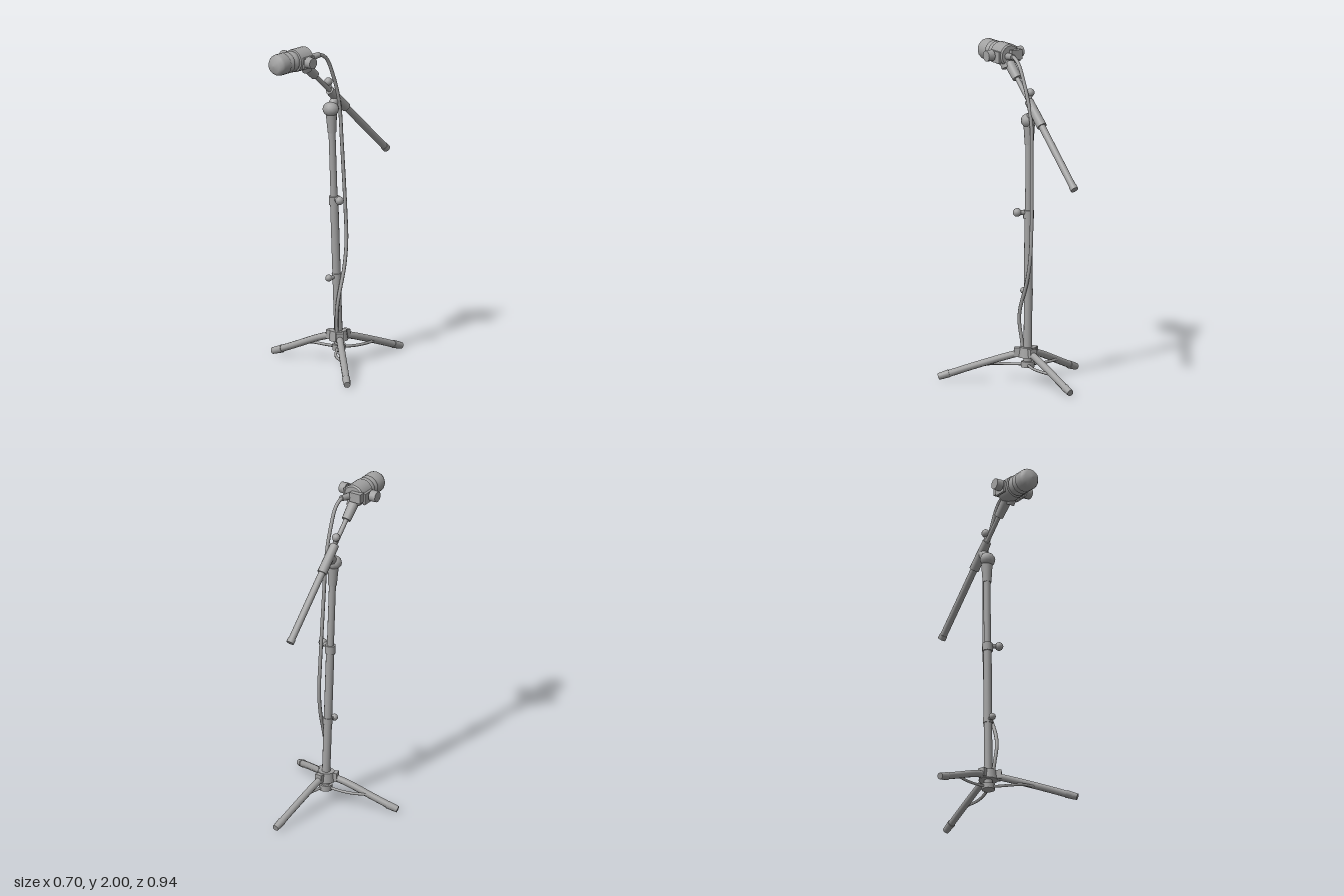
import * as THREE from 'three';

const V = (x, y, z) => new THREE.Vector3(x, y, z);

export function createModel() {
  const root = new THREE.Group();
  const grey = new THREE.MeshStandardMaterial({ color: 0xa2a2a2 });
  grey.name = 'grey';

  function add(name, geometry, parent = root, pos) {
    const m = new THREE.Mesh(geometry, grey);
    m.name = name;
    if (pos) m.position.copy(pos);
    parent.add(m);
    return m;
  }
  // Closed round bar between two points
  function rod(name, a, b, ra, rb = ra, parent = root, sides = 12) {
    const dir = b.clone().sub(a);
    const m = add(name, new THREE.CylinderGeometry(rb, ra, dir.length(), sides), parent);
    m.position.copy(a).add(b).multiplyScalar(0.5);
    m.quaternion.setFromUnitVectors(V(0, 1, 0), dir.normalize());
    return m;
  }
  function tube(name, pts, r, steps = 24, sides = 8) {
    return add(name, new THREE.TubeGeometry(new THREE.CatmullRomCurve3(pts), steps, r, sides));
  }
  const ball = (name, pos, r, parent = root) => add(name, new THREE.SphereGeometry(r, 12, 8), parent, pos);

  // Slightly leaning pole
  const foot = V(0.1, 0.1, -0.02), top = V(0.057, 1.58, -0.004);
  const onPole = y => foot.clone().lerp(top, (y - foot.y) / (top.y - foot.y));
  rod('lowerPole', foot, onPole(1.03), 0.025, 0.025);
  rod('upperPole', onPole(1.0), top, 0.021, 0.021);
  rod('middleCollar', onPole(0.985), onPole(1.035), 0.032);
  rod('lowerCollar', onPole(0.52), onPole(0.56), 0.029);
  rod('topCollar', onPole(1.43), onPole(1.55), 0.026, 0.034);

  // Clamp knobs
  rod('middleKnobStem', onPole(1.02), V(0.125, 1.025, 0.036), 0.014);
  ball('middleKnob', V(0.126, 1.025, 0.038), 0.026);
  rod('lowerKnobStem', onPole(0.54), V(0.058, 0.54, 0.035), 0.012);
  ball('lowerKnob', V(0.056, 0.54, 0.035), 0.021);

  // Hub of the tripod
  rod('hub', onPole(0.15), onPole(0.21), 0.058, 0.05);
  rod('lowerHub', onPole(0.09), onPole(0.125), 0.04);

  // Three folding legs with side braces
  for (const [x, z, side] of [[-0.325, -0.08, 1], [0.32, -0.44, 1], [0.325, 0.44, 1]]) {
    const hub = V(0.1, 0, -0.015);
    const out = V(x, 0, z).sub(hub), len = out.length();
    out.normalize();
    const across = V(-out.z, 0, out.x).multiplyScalar(side);
    const at = (d, y, s = 0) => hub.clone().addScaledVector(out, d).addScaledVector(across, s).setY(y);
    const tip = at(len, 0.025);
    tube('leg', [at(0.03, 0.178), at(0.12, 0.153), at(len * 0.7, 0.078), tip], 0.021, 12, 10);
    rod('foot', at(len - 0.045, 0.042), at(len + 0.02, 0.02), 0.024, 0.02);
    tube('brace', [at(0.03, 0.105, 0.01), at(0.12, 0.1, 0.028), at(0.2, 0.1, 0.032), at(0.28, 0.093, 0.005)], 0.009, 12, 6);
    add('legHinge', new THREE.BoxGeometry(0.045, 0.055, 0.05), root, at(0.05, 0.18)).rotation.y =
      Math.atan2(out.x, out.z);
  }

  // Boom arm and its swivel clutch
  const boomLow = V(0.245, 1.235, -0.435), boomHigh = V(-0.035, 1.885, 0.19);
  const onBoom = t => boomLow.clone().lerp(boomHigh, t);
  rod('boomTube', boomLow, onBoom(0.63), 0.021);
  rod('boomRod', onBoom(0.6), boomHigh, 0.014);
  rod('boomEnd', boomLow, onBoom(0.03), 0.024);
  rod('boomSleeve', onBoom(0.5), onBoom(0.7), 0.03, 0.027);
  rod('boomGrip', onBoom(0.88), boomHigh, 0.028, 0.032);
  rod('swivelArm', top, onBoom(0.62), 0.03, 0.026);
  const swivel = ball('swivel', V(0.056, 1.575, 0.002), 0.046);
  swivel.scale.set(1.1, 0.95, 0.95);
  rod('boomKnobStem', onBoom(0.69), V(0.04, 1.74, -0.002), 0.013);
  ball('boomKnob', V(0.04, 1.742, -0.002), 0.025);

  // Microphone, pointing along its local z
  const mic = new THREE.Group();
  mic.name = 'microphone';
  mic.position.set(-0.06, 1.933, 0.245);
  mic.rotation.y = -0.41;
  root.add(mic);
  const turned = (name, profile) => add(name, new THREE.LatheGeometry(
    profile.map(([r, d]) => new THREE.Vector2(r, d)), 18).rotateX(Math.PI / 2), mic);
  turned('ribbedHead', [[0.055, 0.02], [0.06, 0.045], [0.065, 0.055], [0.065, 0.072], [0.056, 0.08],
    [0.064, 0.088], [0.065, 0.104], [0.057, 0.112], [0.064, 0.12], [0.065, 0.17], [0.06, 0.185],
    [0.045, 0.205], [0, 0.211]]);
  turned('body', [[0, -0.07], [0.06, -0.07], [0.06, -0.07], [0.069, -0.062], [0.069, -0.062],
    [0.069, 0.04], [0.069, 0.04], [0.055, 0.046], [0.05, 0.046]]);

  // Yoke with a round knob at each end
  rod('yokeBar', V(-0.1, 0, 0), V(0.1, 0, 0), 0.024, 0.024, mic);
  for (const s of [-1, 1]) {
    rod('yokeKnob', V(s * 0.085, 0, 0), V(s * 0.128, 0, 0), 0.035, 0.033, mic);
    add('yokePlate', new THREE.BoxGeometry(0.014, 0.07, 0.085), mic, V(s * 0.071, -0.008, -0.02));
  }
  add('rearBracket', new THREE.BoxGeometry(0.075, 0.06, 0.04), mic, V(-0.03, 0.005, -0.078));
  rod('clip', V(0.02, -0.075, -0.06), V(0.02, -0.02, -0.03), 0.03, 0.035, mic);

  // Cable hanging from the microphone down to the hub
  rod('cablePlug', V(-0.015, 1.93, 0.19), V(0.03, 1.94, 0.125), 0.022, 0.017);
  tube('cable', [V(0, 1.935, 0.17), V(0.03, 1.94, 0.12), V(0.055, 1.905, 0.07), V(0.075, 1.8, 0.02),
    V(0.09, 1.68, -0.02), V(0.098, 1.55, -0.045), V(0.105, 1.4, -0.05), V(0.125, 0.95, -0.062),
    V(0.133, 0.75, -0.057), V(0.13, 0.6, -0.03), V(0.118, 0.45, 0.02), V(0.11, 0.37, 0.033),
    V(0.1, 0.25, 0.022), V(0.1, 0.17, 0.01)], 0.011, 80);
  return root;
}
